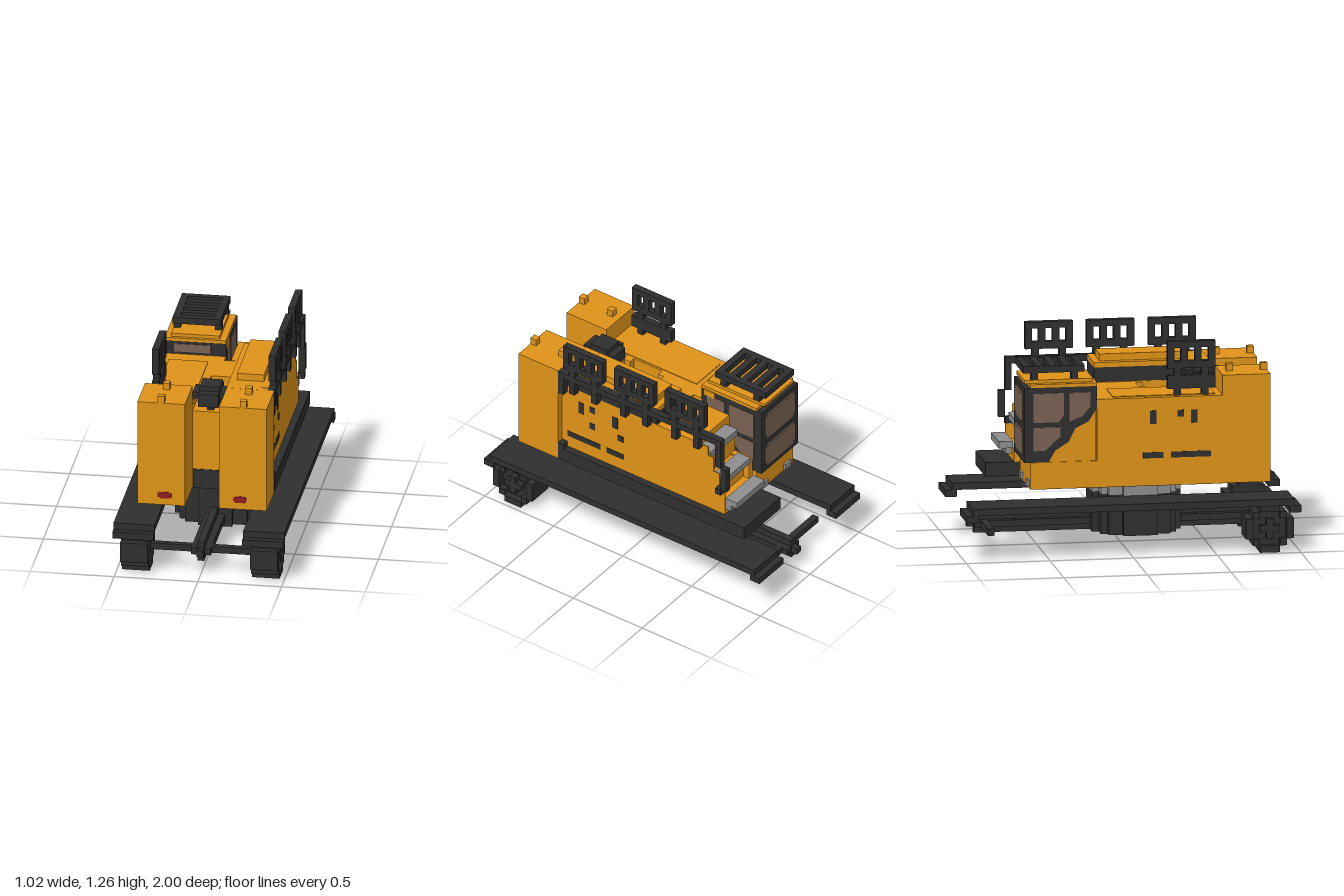
import * as THREE from 'three';

const mat = (name, color) => {
  const m = new THREE.MeshStandardMaterial({ color });
  m.name = name;
  return m;
};

export function createModel() {
  const root = new THREE.Group();
  root.name = 'excavatorBase';
  const orange = mat('orangePaint', 0xe09418);
  const dark = mat('darkSteel', 0x2f2f2f);
  const grey = mat('greySteel', 0x8e8e8e);
  const red = mat('redLamp', 0x8e1a20);
  const glass = mat('brownGlass', 0x7a6253);
  const V = 2 / 49; // block size

  // Box from its extents
  function box(name, m, x0, x1, y0, y1, z0, z1, parent = root) {
    const mesh = new THREE.Mesh(new THREE.BoxGeometry(x1 - x0, y1 - y0, z1 - z0), m);
    mesh.position.set((x0 + x1) / 2, (y0 + y1) / 2, (z0 + z1) / 2);
    mesh.name = name;
    parent.add(mesh);
  }
  function group(name) {
    const g = new THREE.Group();
    g.name = name;
    root.add(g);
    return g;
  }
  // Box repeated on both sides of x = 0
  function pair(name, m, x0, x1, ...rest) {
    box(name, m, x0, x1, ...rest);
    box(name, m, -x1, -x0, ...rest);
  }
  // Thin plate on a side wall, outline given as [z, y] pairs
  function sidePlate(name, m, x, pts, t) {
    const shape = new THREE.Shape(pts.map(([z, y]) => new THREE.Vector2(-z, y)));
    const geo = new THREE.ExtrudeGeometry(shape, { depth: t, bevelEnabled: false });
    geo.rotateY(Math.PI / 2);
    const mesh = new THREE.Mesh(geo, m);
    mesh.position.x = x;
    mesh.name = name;
    root.add(mesh);
  }
  // Stepped round outline from half widths per row
  function steppedOutline(halves) {
    const n = halves.length;
    const row = (i) => (i - n / 2) * V;
    const pts = [];
    halves.forEach((h, i) => pts.push(new THREE.Vector2(h, row(i)), new THREE.Vector2(h, row(i + 1))));
    for (let i = n - 1; i >= 0; i--) {
      pts.push(new THREE.Vector2(-halves[i], row(i + 1)), new THREE.Vector2(-halves[i], row(i)));
    }
    return pts;
  }
  function extrude(name, m, outline, depth, hole) {
    const shape = new THREE.Shape(outline);
    if (hole) shape.holes.push(new THREE.Path(steppedOutline(hole)));
    const mesh = new THREE.Mesh(new THREE.ExtrudeGeometry(shape, { depth, bevelEnabled: false }), m);
    mesh.name = name;
    root.add(mesh);
    return mesh;
  }

  // Track covers with end lips
  pair('trackCover', dark, 0.265, 0.51, 0.286, 0.327, -0.96, 0.96);
  pair('frontLip', dark, 0.265, 0.51, 0.245, 0.286, 0.93, 1);
  pair('rearLip', dark, 0.265, 0.51, 0.245, 0.286, -1, -0.93);

  // Drive sprockets: rim around a recessed face with a cross hub
  const sprocket = steppedOutline([0.06, 0.1, 0.143, 0.143, 0.143, 0.1, 0.06]);
  const recess = [0.06, 0.1, 0.1, 0.1, 0.06];
  for (const s of [-1, 1]) {
    const x = s * 0.388;
    const core = extrude('sprocketCore', dark, sprocket, 0.123);
    const rim = extrude('sprocketRim', dark, sprocket, 0.041, recess);
    for (const part of [core, rim]) part.rotation.y = Math.PI / 2;
    core.position.set(s > 0 ? 0.306 : -0.429, 0.143, 0.82);
    rim.position.set(s > 0 ? 0.429 : -0.47, 0.143, 0.82);
    for (const [a, b] of [[0.06, 0.02], [0.02, 0.06]]) {
      box('hubCross', dark, x - 0.08, x + 0.08, 0.143 - a, 0.143 + a, 0.82 - b, 0.82 + b);
    }
  }

  // Central beam and axles
  box('beamWeb', dark, -0.02, 0.02, 0.085, 0.204, -0.88, 0.88);
  box('beamFlange', dark, -0.06, 0.06, 0.123, 0.163, -0.88, 0.88);
  box('beamTip', dark, -0.02, 0.02, 0.123, 0.163, -0.92, 0.92);
  for (const z of [-0.82, 0.82]) box('axle', dark, -0.31, 0.31, 0.123, 0.163, z - 0.02, z + 0.02);

  // Turntable
  const ring = steppedOutline([0.102, 0.184, 0.225, 0.225, 0.265, 0.265, 0.265, 0.265, 0.265,
    0.225, 0.225, 0.184, 0.102]);
  for (const [name, m, y, h] of [['turntableBase', dark, 0.085, 0.242], ['turntableRing', grey, 0.327, 0.083]]) {
    const disc = extrude(name, m, ring, h);
    disc.rotation.x = -Math.PI / 2;
    disc.position.set(0, y, 0.08);
  }

  // Main platform and house
  box('rightPlatform', dark, 0.02, 0.387, 0.41, 0.495, -0.8, 0.55);
  box('leftFloor', dark, -0.384, -0.02, 0.408, 0.412, -0.58, 0.549);
  box('frontSill', dark, -0.1, 0.1, 0.41, 0.53, 0.5, 0.552);
  box('leftBody', orange, -0.386, -0.102, 0.41, 0.94, -0.2, 0.55);
  box('leftInnerBody', orange, -0.102, -0.02, 0.41, 0.94, -0.2, -0.14);
  box('centreBody', orange, -0.102, 0.1, 0.495, 0.78, -0.14, 0.549);
  box('centreFloor', dark, -0.102, 0.02, 0.409, 0.495, -0.14, 0.5);
  box('centreFrontDeck', orange, -0.102, 0.1, 0.78, 0.9, 0.4, 0.549);
  box('rightBody', orange, 0.1, 0.345, 0.495, 0.942, -0.14, 0.55);
  box('leftDeckPanel', orange, -0.345, -0.11, 0.94, 0.945, -0.1, 0.51);

  // Centre deck with a stepped round well
  const deckOutline = [[-0.102, -0.155], [0.1, -0.155], [0.1, 0.385], [-0.102, 0.385]]
    .map(([x, y]) => new THREE.Vector2(x, y));
  const deck = extrude('centreDeck', orange, deckOutline, 0.16, [0.06, 0.098, 0.098, 0.098, 0.098, 0.098, 0.06]);
  deck.rotation.x = -Math.PI / 2;
  deck.position.set(0, 0.78, 0.245);

  // Rear stair body, stepping forward as it rises
  const stair = [[0.495, 0.57, -0.63], [0.57, 0.69, -0.56], [0.69, 0.86, -0.47]];
  for (const [y0, y1, z] of stair) box('stairBody', orange, 0.02, 0.338, y0, y1, z, -0.14);
  box('stairDeck', orange, 0.02, 0.338, 0.86, 0.942, -0.43, -0.14);
  box('innerKerb', orange, 0.02, 0.06, 0.495, 0.7, -0.6, -0.4);
  const wall = [[-0.14, 0.495], [-0.63, 0.495], [-0.63, 0.66], [-0.59, 0.66], [-0.59, 0.78],
    [-0.55, 0.78], [-0.55, 0.88], [-0.51, 0.88], [-0.51, 0.942], [-0.14, 0.942]];
  sidePlate('stairSideWall', orange, 0.338, wall, 0.007);
  for (const [y, z0, z1] of [[0.57, -0.715, -0.631], [0.69, -0.612, -0.52], [0.86, -0.52, -0.43]]) {
    box('stairTread', grey, 0.06, 0.338, y, y + V, z0, z1);
  }
  box('lowTreadFace', grey, 0.1, 0.338, 0.53, 0.57, -0.67, -0.63);

  // Engine hood
  box('hoodGrille', dark, 0.1, 0.346, 0.942, 1.03, -0.14, 0.549);
  box('hoodLid', orange, 0.1, 0.346, 1.03, 1.06, -0.14, 0.549);
  box('hoodPanel', orange, 0.143, 0.305, 1.06, 1.102, -0.1, 0.42);

  // Front tanks with caps and lamps
  pair('tank', orange, 0.102, 0.386, 0.41, 1.06, 0.55, 0.837);
  for (const z of [0.592, 0.796]) pair('tankCap', orange, 0.225, 0.265, 1.06, 1.102, z, z + V);
  pair('lamp', red, 0.184, 0.265, 0.459, 0.485, 0.837, 0.841);
  pair('lampMiddle', red, 0.194, 0.255, 0.452, 0.492, 0.837, 0.84);
  box('cornerPost', dark, 0.3, 0.387, 0.495, 0.53, 0.51, 0.55);
  box('upperCornerPost', dark, 0.3, 0.387, 0.9, 1.06, 0.51, 0.55);

  // Exhaust
  box('exhaustStem', dark, -0.02, 0.02, 0.9, 0.98, 0.46, 0.52);
  box('exhaust', dark, -0.06, 0.06, 0.95, 1.03, 0.385, 0.6);
  box('exhaustTop', dark, -0.06, 0.06, 1.02, 1.06, 0.426, 0.548);
  box('exhaustBand', dark, -0.102, 0.102, 0.98, 1.02, 0.426, 0.548);

  // Handrail along the right side
  const rail = group('handrail');
  box('railBar', dark, 0.347, 0.387, 1.02, 1.06, -0.63, 0.51, rail);
  box('railDrop', dark, 0.347, 0.387, 0.86, 1.02, -0.63, -0.59, rail);
  box('railGrip', dark, 0.347, 0.387, 0.7, 0.86, -0.67, -0.63, rail);
  box('railFoot', dark, 0.347, 0.387, 0.66, 0.7, -0.63, -0.59, rail);
  for (const z of [0.45, 0.29, 0.08, -0.08, -0.29, -0.45]) {
    box('railPost', dark, 0.347, 0.387, 0.93, 1.02, z - 0.02, z + 0.02, rail);
  }

  // Barred guard frames, seven blocks long
  function guard(x, z0, legBase) {
    const g = group('guardFrame');
    const z1 = z0 + 7 * V;
    box('lowerBar', dark, x, x + V, 1.102, 1.145, z0, z1, g);
    box('upperBar', dark, x, x + V, 1.225, 1.265, z0, z1, g);
    for (let i = 0; i < 7; i += 2) {
      box('upright', dark, x, x + V, 1.145, 1.225, z0 + i * V, z0 + (i + 1) * V, g);
    }
    for (const i of [1, 5]) box('leg', dark, x, x + V, legBase, 1.102, z0 + i * V, z0 + (i + 1) * V, g);
  }
  for (const z of [0.227, -0.143, -0.51]) guard(0.347, z, 1.06);
  guard(-0.349, 0.227, 0.94);
  box('leftGuardRail', dark, -0.349, -0.308, 0.98, 1.06, 0.227, 0.513);

  // Cab shell and roof
  box('cabBase', orange, -0.386, -0.02, 0.41, 0.57, -0.6, -0.2);
  box('cabShell', orange, -0.38, -0.026, 0.57, 1.02, -0.6, -0.206);
  box('cabRoof', orange, -0.386, -0.02, 1.02, 1.04, -0.6, -0.2);
  box('cabRoofTop', orange, -0.35, -0.06, 1.04, 1.06, -0.63, -0.22);
  box('roofCorner', orange, -0.06, -0.012, 0.98, 1.02, -0.3, -0.22);
  box('rearFrame', dark, -0.386, -0.02, 0.571, 1.02, -0.636, -0.6);
  for (const x of [-0.35, -0.12]) box('cabFoot', grey, x, x + 0.06, 0.42, 0.46, -0.615, -0.6);
  box('frontFrame', dark, -0.38, -0.02, 0.94, 1.02, -0.206, -0.199);
  box('frontWindow', glass, -0.33, -0.11, 0.955, 1.005, -0.199, -0.195);

  // Rear glazing
  for (const [y0, y1] of [[0.605, 0.765], [0.805, 0.99]]) {
    box('rearWindow', glass, -0.355, -0.051, y0 + 0.02, y1 - 0.02, -0.641, -0.636);
    box('rearWindowMiddle', glass, -0.335, -0.071, y0, y1, -0.64, -0.636);
  }
  // Side glazing, frame cut away at the lower front
  const frame = [[-0.6, 0.571], [-0.49, 0.571], [-0.45, 0.64], [-0.37, 0.69], [-0.33, 0.77],
    [-0.25, 0.81], [-0.2, 0.89], [-0.2, 1.02], [-0.6, 1.02]];
  const panes = [
    [[-0.58, 0.64], [-0.51, 0.64], [-0.46, 0.69], [-0.42, 0.72], [-0.42, 0.78], [-0.58, 0.78]],
    [[-0.58, 0.81], [-0.43, 0.81], [-0.4, 0.85], [-0.4, 0.985], [-0.58, 0.985]],
    [[-0.37, 0.81], [-0.29, 0.84], [-0.24, 0.9], [-0.24, 0.985], [-0.37, 0.985]],
  ];
  sidePlate('leftWindowFrame', dark, -0.386, frame, 0.006);
  sidePlate('rightWindowFrame', dark, -0.026, frame, 0.006);
  for (const p of panes) {
    sidePlate('leftWindow', glass, -0.389, p, 0.003);
    sidePlate('rightWindow', glass, -0.02, p, 0.003);
  }

  // Slatted roof rack
  const rack = group('roofRack');
  for (let i = 0; i < 9; i += 2) {
    box('slat', dark, -0.31, -0.1, 1.102, 1.143, -0.636 + i * V, -0.636 + (i + 1) * V, rack);
  }
  for (const x of [-0.349, -0.102]) {
    box('rackSide', dark, x, x + V, 1.102, 1.143, -0.636, -0.269, rack);
    for (const z of [-0.59, -0.35]) box('rackLeg', dark, x, x + V, 1.05, 1.102, z, z + V, rack);
  }

  // Vents, latches and slots on both sides: z0, z1, y0, y1
  const slots = [[0.39, 0.43, 0.78, 0.86], [0.31, 0.35, 0.82, 0.86], [0.145, 0.185, 0.78, 0.86],
    [0.31, 0.35, 0.7, 0.74], [0.105, 0.145, 0.7, 0.74], [0.27, 0.51, 0.575, 0.61], [0.105, 0.225, 0.575, 0.61]];
  slots.forEach(([z0, z1, y0, y1], i) => {
    box('rightSlot', dark, 0.345, 0.349, y0, y1, z0, z1);
    if (i < 3 || i > 4) box('leftSlot', dark, -0.389, -0.386, y0, y1, z0 - 0.03, z1 - 0.03);
  });
  return root;
}
